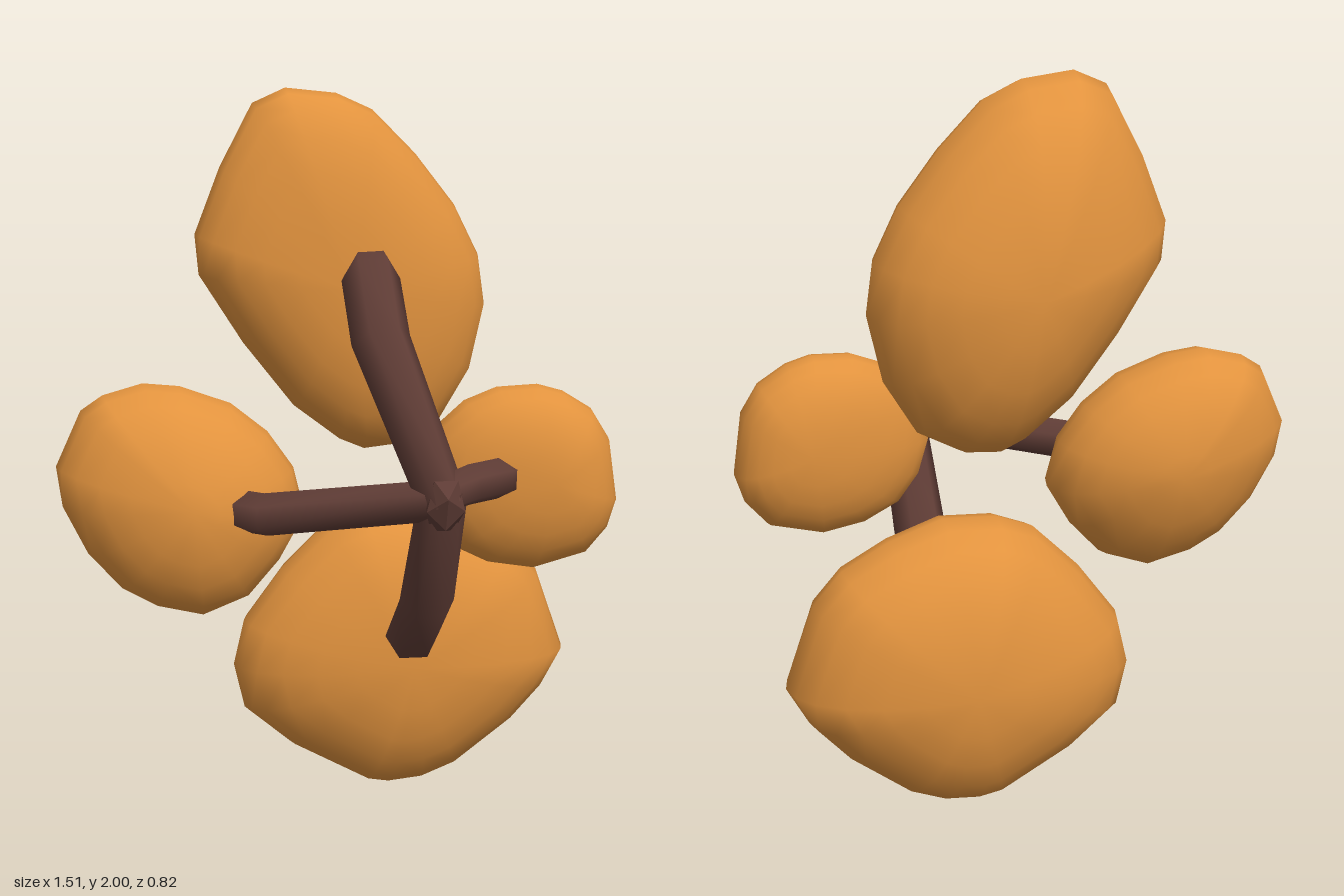
import * as THREE from 'three';
import { mergeVertices } from 'three/addons/utils/BufferGeometryUtils.js';

const leafMaterial = new THREE.MeshStandardMaterial({ color: 0xe2933e });
const barkMaterial = new THREE.MeshStandardMaterial({ color: 0x603d36 });

// Skin a list of closed rings whose first and last ring are collapsed to a point
function loft(rings) {
  const n = rings[0].length;
  const index = [];
  for (let j = 0; j < rings.length - 1; j++) {
    for (let i = 0; i < n; i++) {
      const a = j * n + i, b = j * n + (i + 1) % n, c = a + n, d = b + n;
      if (j > 0) index.push(a, b, c);
      if (j < rings.length - 2) index.push(b, d, c);
    }
  }
  const geometry = new THREE.BufferGeometry().setFromPoints(rings.flat());
  geometry.setIndex(index);
  const merged = mergeVertices(geometry, 1e-5);
  merged.computeVertexNormals();
  return merged;
}

// Foliage clump: front outline (clockwise) swelling to a front and a back pole.
// A higher taper narrows that side sooner; tilt leans the rim in z along x and y.
function foliage({ name, outline, centre, rimZ, front, back, taper, tilt = [0, 0] }) {
  const [cx, cy] = centre;
  const rings = [];
  const steps = 12;
  for (let j = 0; j <= steps; j++) {
    const phi = Math.PI * (0.5 - j / steps);
    const pole = j === 0 || j === steps;
    const s = pole ? 0 : Math.pow(Math.cos(phi), taper[phi > 0 ? 0 : 1]);
    const z = rimZ + Math.sin(phi) * (phi > 0 ? front : back);
    rings.push(outline.map(([x, y]) => {
      const dx = (x - cx) * s, dy = (y - cy) * s;
      return new THREE.Vector3(cx + dx, cy + dy, z + tilt[0] * dx + tilt[1] * dy);
    }));
  }
  const mesh = new THREE.Mesh(loft(rings), leafMaterial);
  mesh.name = name;
  return mesh;
}

// Six-sided branch along a bent path with a radius at each point
function branch(name, path, radii, side) {
  const pts = path.map(p => new THREE.Vector3(...p));
  const last = pts.length - 1;
  const rings = pts.map((p, j) => {
    const tIn = p.clone().sub(pts[Math.max(j - 1, 0)]).normalize();
    const tOut = pts[Math.min(j + 1, last)].clone().sub(p).normalize();
    const t = tIn.add(tOut).normalize();
    const u = side.clone().addScaledVector(t, -side.dot(t)).normalize();
    const v = t.clone().cross(u);
    return Array.from({ length: 6 }, (_, i) => {
      const a = (i / 6) * Math.PI * 2;
      return p.clone().addScaledVector(u, radii[j] * Math.cos(a))
        .addScaledVector(v, radii[j] * Math.sin(a));
    });
  });
  const cap = p => Array(6).fill(p);
  const mesh = new THREE.Mesh(loft([cap(pts[0]), ...rings, cap(pts[last])]), barkMaterial);
  mesh.name = name;
  return mesh;
}

export function createModel() {
  const model = new THREE.Group();
  model.name = 'branchWithFoliage';

  // Four foliage clumps
  model.add(foliage({
    name: 'topFoliage', centre: [0.04, 1.47], rimZ: -0.13, front: 0.175, back: 0.27,
    taper: [0.8, 0.95], tilt: [-0.04, 0],
    outline: [[-0.12, 2], [0.02, 1.985], [0.12, 1.94], [0.24, 1.82], [0.35, 1.68],
      [0.42, 1.54], [0.44, 1.4], [0.4, 1.22], [0.31, 1.07], [0.2, 1.01], [0.1, 1],
      [0.03, 1.03], [-0.1, 1.13], [-0.24, 1.31], [-0.36, 1.5], [-0.37, 1.61],
      [-0.3, 1.79], [-0.21, 1.96]],
  }));
  model.add(foliage({
    name: 'bottomFoliage', centre: [0.22, 0.4], rimZ: -0.17, front: 0.21, back: 0.24,
    taper: [0.85, 0.9],
    outline: [[0.11, 0.01], [-0.11, 0.13], [-0.24, 0.24], [-0.27, 0.37], [-0.24, 0.5],
      [-0.13, 0.65], [0, 0.78], [0.1, 0.82], [0.25, 0.83], [0.4, 0.78], [0.53, 0.71],
      [0.61, 0.62], [0.69, 0.39], [0.63, 0.28], [0.54, 0.18], [0.37, 0.05], [0.27, 0.01],
      [0.17, 0]],
  }));
  model.add(foliage({
    name: 'rightFoliage', centre: [-0.4, 0.9], rimZ: -0.05, front: 0.205, back: 0.21,
    taper: [1.1, 1.1], tilt: [0, -0.1],
    outline: [[-0.52, 1.21], [-0.42, 1.2], [-0.28, 1.15], [-0.18, 1.07], [-0.11, 0.97],
      [-0.08, 0.84], [-0.15, 0.72], [-0.24, 0.62], [-0.37, 0.57], [-0.5, 0.6],
      [-0.59, 0.65], [-0.68, 0.75], [-0.745, 0.88], [-0.76, 0.99], [-0.69, 1.14],
      [-0.63, 1.18]],
  }));
  model.add(foliage({
    name: 'leftFoliage', centre: [0.56, 0.97], rimZ: 0.13, front: 0.135, back: 0.13,
    taper: [0.85, 0.85],
    outline: [[0.53, 1.22], [0.6, 1.2], [0.68, 1.15], [0.73, 1.07], [0.755, 0.9],
      [0.73, 0.82], [0.67, 0.75], [0.52, 0.71], [0.4, 0.73], [0.3, 0.78], [0.24, 0.86],
      [0.21, 0.96], [0.24, 1.1], [0.33, 1.18], [0.42, 1.215]],
  }));

  // Branches spreading from the hub, each bending back into its clump
  const across = new THREE.Vector3(1, 0, 0), up = new THREE.Vector3(0, 1, 0);
  model.add(branch('topBranch',
    [[0.24, 0.94, 0.34], [0.09, 1.36, 0.21], [0.09, 1.5, 0.04], [0.09, 1.55, -0.04]],
    [0.065, 0.08, 0.08, 0.06], across));
  model.add(branch('bottomBranch',
    [[0.24, 1, 0.335], [0.22, 0.65, 0.205], [0.21, 0.5, 0.04], [0.21, 0.46, -0.04]],
    [0.065, 0.075, 0.075, 0.06], across));
  model.add(branch('rightBranch',
    [[0.26, 0.96, 0.345], [-0.21, 0.89, 0.16], [-0.29, 0.885, 0.07], [-0.33, 0.88, 0]],
    [0.055, 0.058, 0.058, 0.05], up));
  model.add(branch('leftBranch',
    [[0.21, 0.97, 0.36], [0.31, 0.99, 0.31], [0.4, 0.99, 0.25], [0.45, 0.98, 0.18]],
    [0.05, 0.055, 0.055, 0.05], up));

  // Knot where the branches meet
  const knot = new THREE.Mesh(new THREE.IcosahedronGeometry(0.07, 0), barkMaterial);
  knot.name = 'branchKnot';
  knot.scale.set(0.85, 1.3, 0.75);
  knot.rotation.x = 0.35;
  knot.position.set(0.235, 0.945, 0.355);
  model.add(knot);

  return model;
}
